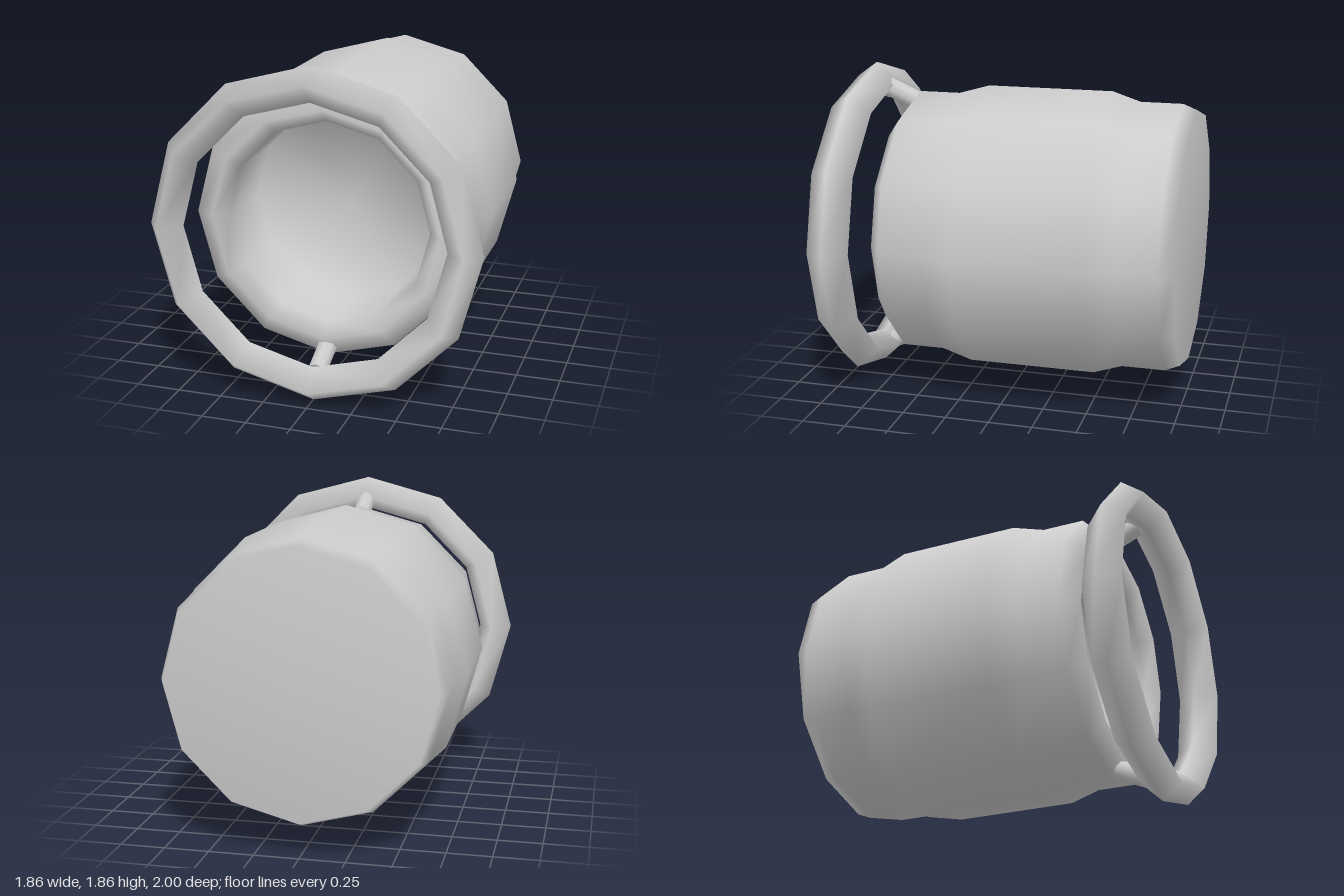
import * as THREE from 'three';
import { mergeVertices } from 'three/addons/utils/BufferGeometryUtils.js';

const AXIS_Y = 0.93;
const material = new THREE.MeshStandardMaterial({ color: 0xcccccc });

// Twelve-sided turned shape along z, from [radius, z] pairs, with shared smooth normals
function turned(name, profile) {
  let geometry = new THREE.LatheGeometry(profile.map(([r, z]) => new THREE.Vector2(r, z)), 12);
  geometry.rotateX(Math.PI / 2);
  geometry.deleteAttribute('normal');
  geometry.deleteAttribute('uv');
  geometry = mergeVertices(geometry, 1e-4);
  geometry.computeVertexNormals();
  const mesh = new THREE.Mesh(geometry, material);
  mesh.name = name;
  mesh.position.y = AXIS_Y;
  return mesh;
}

// Short round bar between two points
function strut(name, from, to) {
  const direction = to.clone().sub(from);
  const mesh = new THREE.Mesh(new THREE.CylinderGeometry(0.056, 0.056, direction.length(), 8), material);
  mesh.name = name;
  mesh.position.copy(from).add(to).multiplyScalar(0.5);
  mesh.quaternion.setFromUnitVectors(new THREE.Vector3(0, 1, 0), direction.normalize());
  return mesh;
}

export function createModel() {
  const group = new THREE.Group();
  group.name = 'ringedBarrel';

  // Barrel: closed back, bulging middle, rounded rim and recessed floor
  group.add(turned('barrel', [
    [0, -1], [0.735, -1], [0.768, -0.92], [0.768, -0.68],
    [0.82, -0.52], [0.82, 0.2], [0.768, 0.38], [0.768, 0.62],
    [0.65, 0.7], [0.575, 0.62], [0.575, 0.2], [0, 0.2],
  ]));

  // Front ring with a slanted four-sided section
  group.add(turned('frontRing', [
    [0.735, 0.885], [0.815, 0.77], [0.928, 0.885], [0.845, 1], [0.735, 0.885],
  ]));

  // Struts joining ring and barrel, top and bottom
  for (const [name, side] of [['topStrut', 1], ['bottomStrut', -1]]) {
    group.add(strut(name,
      new THREE.Vector3(0, AXIS_Y + side * 0.705, 0.625),
      new THREE.Vector3(0, AXIS_Y + side * 0.79, 0.82)));
  }
  return group;
}
